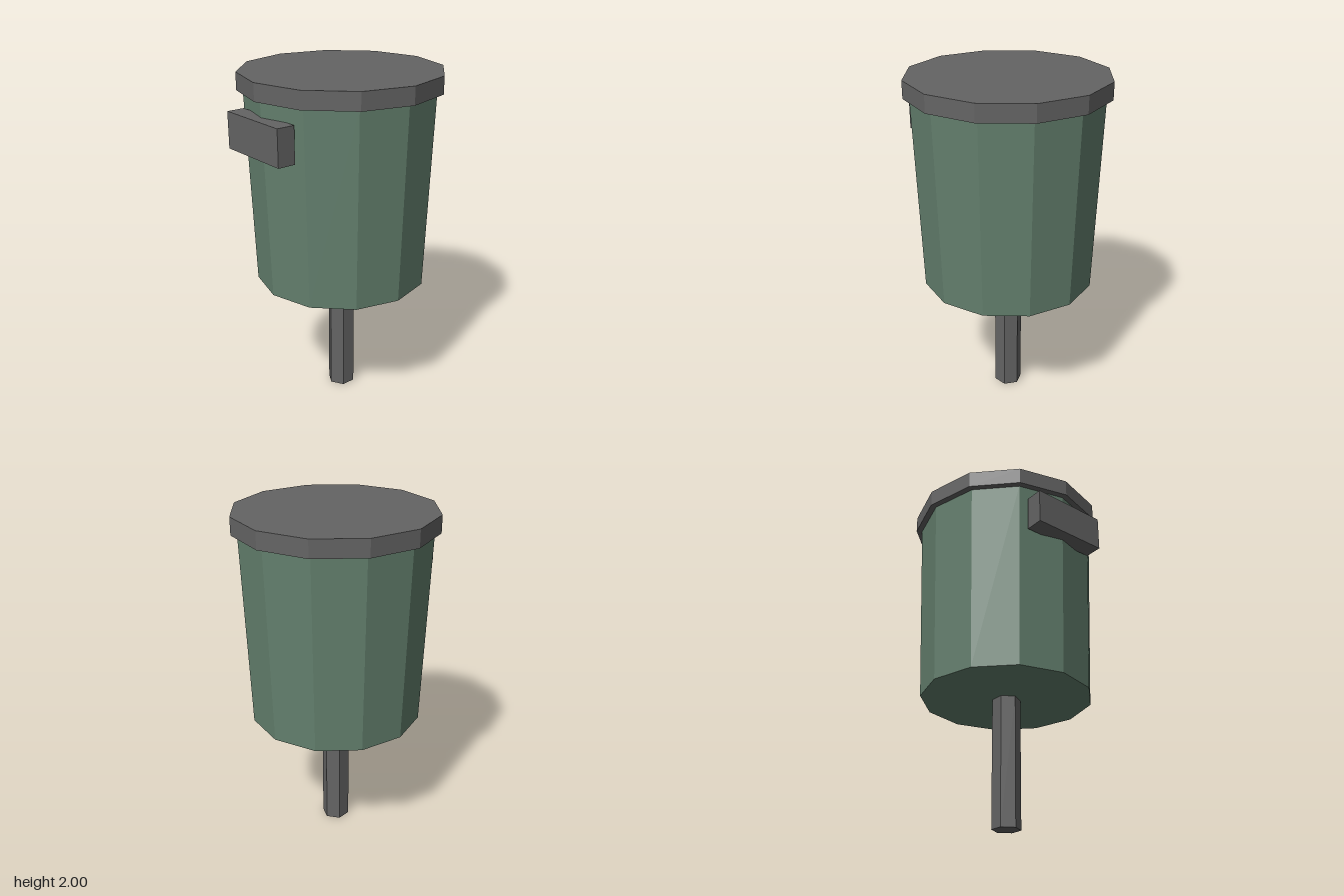
import * as THREE from 'three';

const CENTER_Z = -0.012; // the round parts sit slightly back to balance the hood

const green = new THREE.MeshStandardMaterial({ color: 0x64806e });
green.name = 'green paint';
const gray = new THREE.MeshStandardMaterial({ color: 0x646464 });
gray.name = 'gray metal';

// Flat-sided prism or cone section spanning y0 to y1
function prism(name, rTop, rBottom, y0, y1, sides, material) {
  const geometry = new THREE.CylinderGeometry(rTop, rBottom, y1 - y0, sides).toNonIndexed();
  geometry.computeVertexNormals();
  const mesh = new THREE.Mesh(geometry, material);
  mesh.name = name;
  mesh.position.set(0, (y0 + y1) / 2, CENTER_Z);
  return mesh;
}

export function createModel() {
  const model = new THREE.Group();
  model.name = 'postMountedBin';

  // Hexagonal post, twelve-sided tapered bin and its lid
  model.add(
    prism('post', 0.083, 0.083, 0, 0.765, 6, gray),
    prism('binBody', 0.545, 0.505, 0.765, 1.9, 12, green),
    prism('lid', 0.58, 0.58, 1.9, 2, 12, gray)
  );

  // Slot cover on the front
  const cover = new THREE.Mesh(new THREE.BoxGeometry(0.46, 0.207, 0.105), gray);
  cover.name = 'slotCover';
  cover.position.set(0, 1.708, 0.538);
  model.add(cover);

  return model;
}
